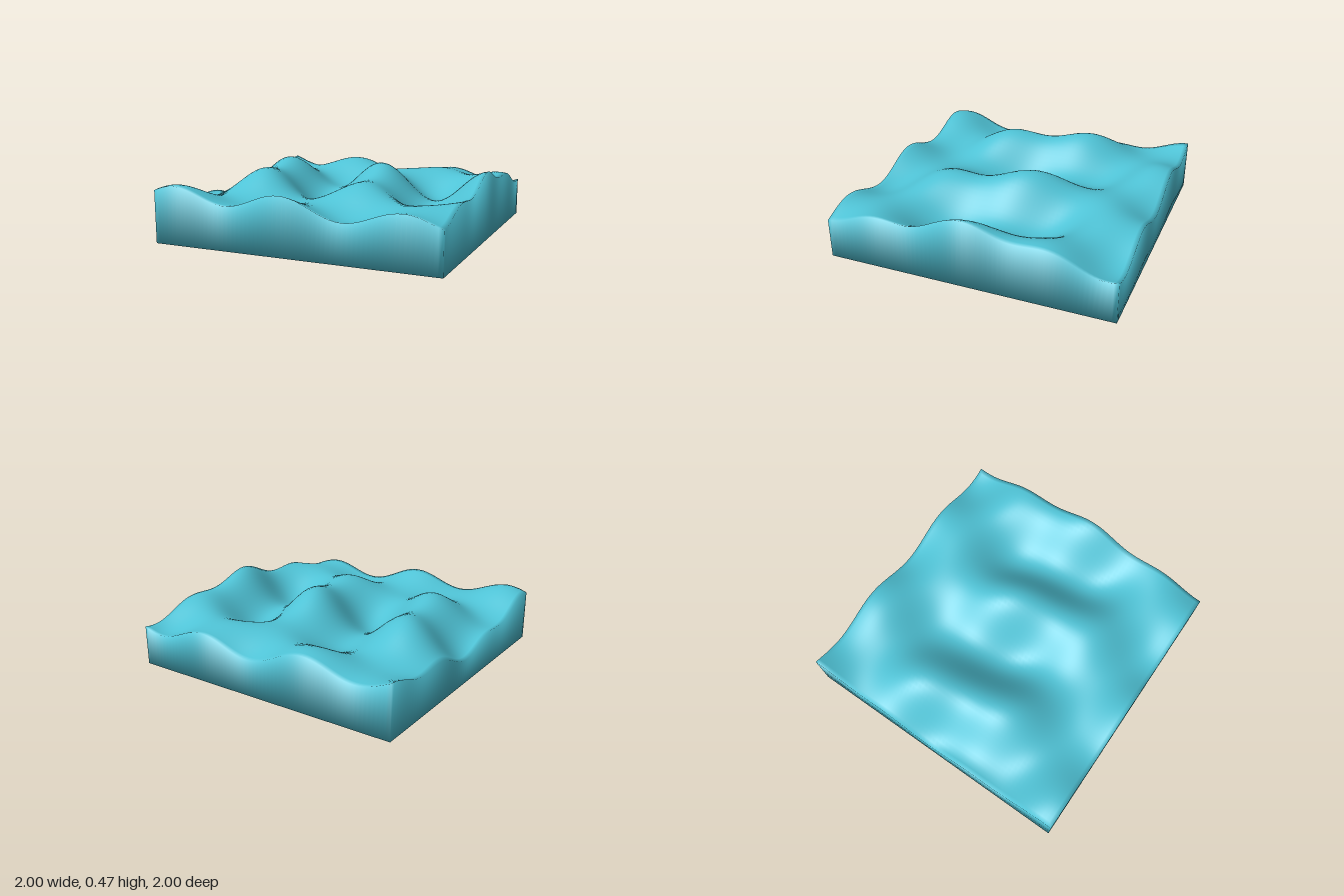
import * as THREE from 'three';

const SEGMENTS = 64;

// Height of the water surface
function waveHeight(x, z) {
  // Swell running along x, fading and shifting towards the front and back
  const swell = Math.sin(7.75 * x) * (0.1 * Math.cos(1.75 * z) + 0.025 * Math.cos(4.6 * z));
  const shift = -0.05 * Math.cos(7.75 * x) * Math.sin(4.6 * z);
  // Finer ripple running along z
  const ripple = 0.03 * Math.sin(2 * x - 10 * z);
  return 0.32 + swell + shift + ripple;
}

// Average the normals of faces meeting at the rim, so shading rolls softly over every edge
function softenEdges(geometry) {
  const { position, normal } = geometry.attributes;
  const sums = new Map();
  const keys = [];
  const v = new THREE.Vector3();
  for (let i = 0; i < position.count; i++) {
    keys[i] = v.fromBufferAttribute(position, i).toArray().map((n) => Math.round(n * 1e4)).join();
    if (!sums.has(keys[i])) sums.set(keys[i], new THREE.Vector3());
    sums.get(keys[i]).add(v.fromBufferAttribute(normal, i));
  }
  keys.forEach((key, i) => {
    v.copy(sums.get(key)).normalize();
    normal.setXYZ(i, v.x, v.y, v.z);
  });
}

export function createModel() {
  const model = new THREE.Group();
  model.name = 'waterBlock';

  const water = new THREE.MeshStandardMaterial({ color: 0x4fc3d6 });
  water.name = 'water blue';

  // Square slab: the top is raised to the waves, the base set on the ground
  const geometry = new THREE.BoxGeometry(2, 1, 2, SEGMENTS, 1, SEGMENTS);
  geometry.clearGroups();
  const position = geometry.attributes.position;
  for (let i = 0; i < position.count; i++) {
    const top = position.getY(i) > 0;
    position.setY(i, top ? waveHeight(position.getX(i), position.getZ(i)) : 0);
  }
  geometry.computeVertexNormals();
  softenEdges(geometry);

  const mesh = new THREE.Mesh(geometry, water);
  mesh.name = 'wavyWater';
  model.add(mesh);
  return model;
}
